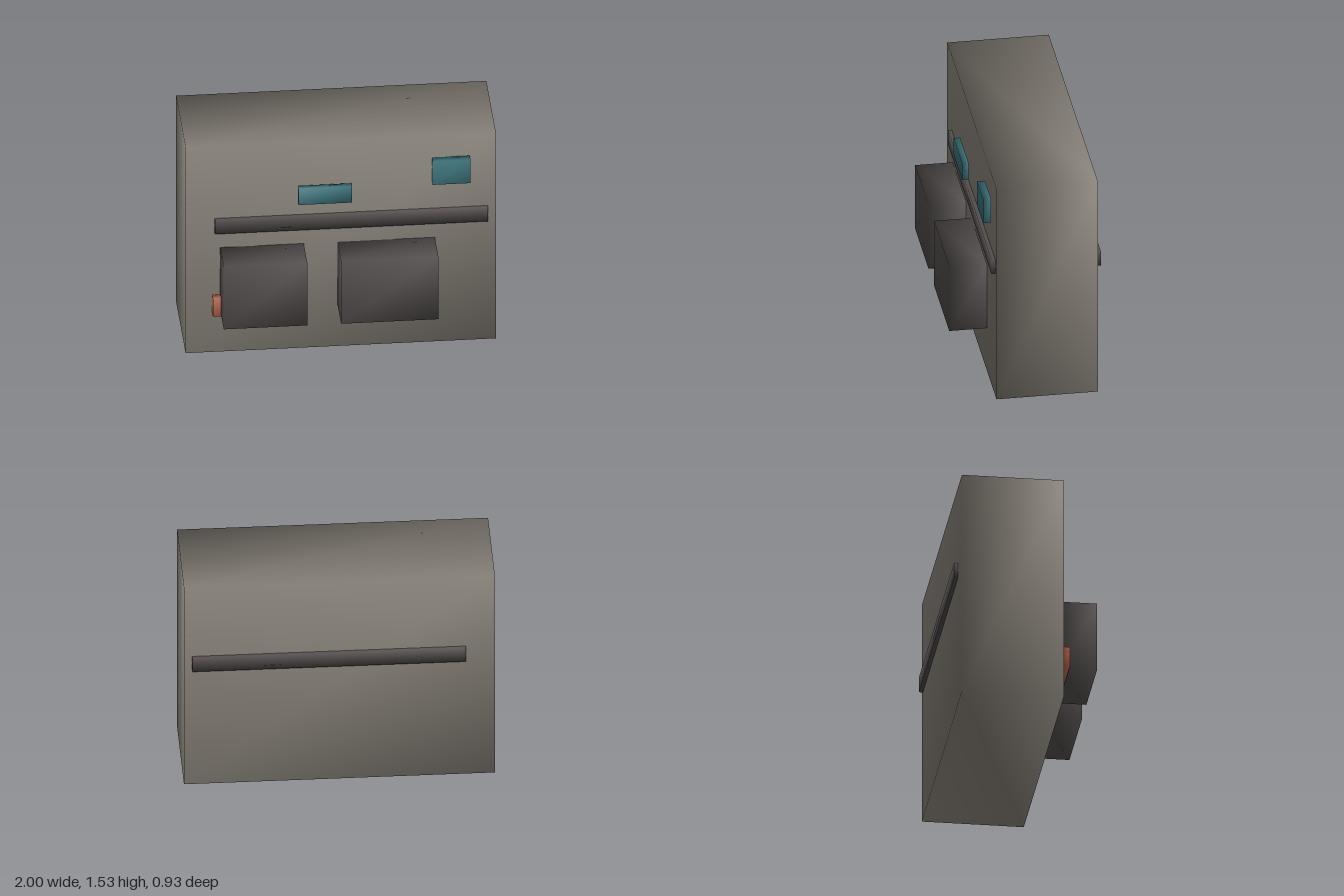
import * as THREE from 'three';
import { mergeVertices } from 'three/addons/utils/BufferGeometryUtils.js';

// Box given by its extents, with normals averaged across shared corners
function softBox(name, color, [x0, x1], [y0, y1], [z0, z1]) {
  const box = new THREE.BoxGeometry(x1 - x0, y1 - y0, z1 - z0);
  box.deleteAttribute('normal');
  box.deleteAttribute('uv');
  const geometry = mergeVertices(box);
  geometry.computeVertexNormals();
  const mesh = new THREE.Mesh(geometry, new THREE.MeshStandardMaterial({ color }));
  mesh.name = name;
  mesh.position.set((x0 + x1) / 2, (y0 + y1) / 2, (z0 + z1) / 2);
  return mesh;
}

export function createModel() {
  const group = new THREE.Group();
  group.name = 'packPanel';
  const grey = 0x8c867d, dark = 0x565050, teal = 0x3f7880, red = 0xa85a42;

  group.add(
    // main slab
    softBox('body', grey, [-1, 1], [0, 1.53], [-0.438, 0.222]),
    // bar running right through the slab, proud on front and back
    softBox('crossBar', dark, [-0.813, 0.947], [0.89, 0.993], [-0.464, 0.247]),
    // front boxes
    softBox('rightPouch', dark, [-0.777, -0.239], [0.308, 0.775], [0.222, 0.466]),
    softBox('leftPouch', dark, [-0.021, 0.606], [0.308, 0.775], [0.222, 0.466]),
    // small plates floating just off the front
    softBox('middlePlate', teal, [-0.28, 0.066], [1.107, 1.226], [0.254, 0.296]),
    softBox('cornerPlate', teal, [0.587, 0.83], [1.202, 1.376], [0.231, 0.283]),
    softBox('lowerTag', red, [-0.83, -0.427], [0.298, 0.433], [0.231, 0.283]),
  );
  return group;
}
